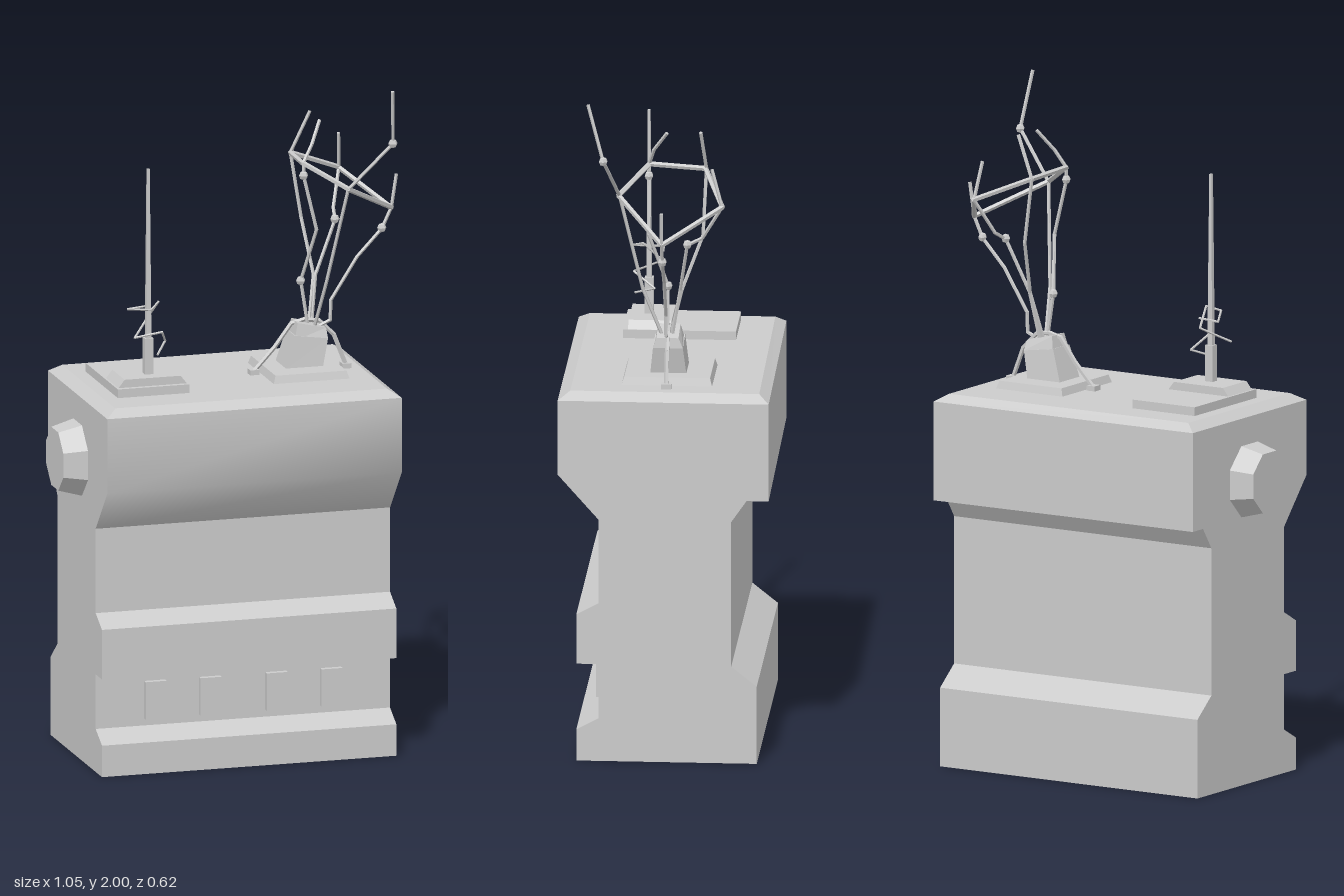
import * as THREE from 'three';
import { toCreasedNormals } from 'three/addons/utils/BufferGeometryUtils.js';

const grey = new THREE.MeshStandardMaterial({ color: 0xcccccc });
const V = (p) => new THREE.Vector3(...p);

function add(parent, name, geometry, position = [0, 0, 0]) {
  const mesh = new THREE.Mesh(geometry, grey);
  mesh.name = name;
  mesh.position.set(...position);
  parent.add(mesh);
  return mesh;
}

// Side profile of [z, y] points, extruded along x
function extrudeAlongX(profile, x0, x1) {
  const shape = new THREE.Shape(profile.map(([z, y]) => new THREE.Vector2(-z, y)));
  const g = new THREE.ExtrudeGeometry(shape, { depth: x1 - x0, bevelEnabled: false });
  return g.rotateY(Math.PI / 2).translate(x0, 0, 0);
}

// Box whose top rectangle differs from its base; rectangles are [x0, x1, z0, z1]
function taperedBox(base, top, y0, y1, tilt = 0) {
  const g = new THREE.BoxGeometry(1, 1, 1).toNonIndexed();
  const p = g.attributes.position;
  for (let i = 0; i < p.count; i++) {
    const up = p.getY(i) > 0;
    const right = p.getX(i) > 0;
    const r = up ? top : base;
    const y = up ? y1 - (right ? tilt : 0) : y0;
    p.setXYZ(i, right ? r[1] : r[0], y, p.getZ(i) > 0 ? r[3] : r[2]);
  }
  g.computeVertexNormals();
  return g;
}

// Straight rods joining a list of points
function wire(parent, name, points, radius, closed = false) {
  const group = new THREE.Group();
  group.name = name;
  const pts = points.map(V);
  if (closed) pts.push(pts[0]);
  for (let i = 0; i + 1 < pts.length; i++) {
    const dir = pts[i + 1].clone().sub(pts[i]);
    const g = new THREE.CylinderGeometry(radius, radius, dir.length() + radius * 0.6, 5).toNonIndexed();
    g.computeVertexNormals();
    const rod = add(group, name + 'Rod', g);
    rod.position.copy(pts[i]).addScaledVector(dir, 0.5);
    rod.quaternion.setFromUnitVectors(new THREE.Vector3(0, 1, 0), dir.normalize());
  }
  parent.add(group);
}

export function createModel() {
  const model = new THREE.Group();
  model.name = 'antennaTower';
  const X0 = -0.455, X1 = 0.445;

  // Main body with stepped plinth and front ledge
  add(model, 'body', toCreasedNormals(extrudeAlongX([
    [0.255, 0], [0.255, 0.095], [0.19, 0.13], [0.19, 0.295], [0.255, 0.295],
    [0.255, 0.445], [0.19, 0.48], [0.19, 0.735], [-0.2, 0.735], [-0.2, 0.295],
    [-0.275, 0.235], [-0.275, 0],
  ], X0, X1), 0.6));

  // Overhanging head, its back face slightly skewed
  const head = extrudeAlongX([
    [0.19, 0.735], [0.31, 0.87], [0.31, 1.095], [-0.31, 1.095],
    [-0.31, 0.8], [-0.245, 0.8], [-0.2, 0.735],
  ], X0, X1);
  const hp = head.attributes.position;
  for (let i = 0; i < hp.count; i++) {
    if (hp.getZ(i) < -0.3 && hp.getX(i) < 0) hp.setZ(i, -0.3);
  }
  head.computeVertexNormals();
  add(model, 'head', toCreasedNormals(head, 0.79));

  // Chamfered roof
  const roof = taperedBox([X0, X1, -0.31, 0.31], [-0.42, 0.41, -0.28, 0.275], 1.095, 1.117);
  const rp = roof.attributes.position;
  for (let i = 0; i < rp.count; i++) {
    if (rp.getZ(i) < 0 && rp.getX(i) < 0) rp.setZ(i, rp.getZ(i) + 0.01);
  }
  roof.computeVertexNormals();
  add(model, 'roof', roof);

  // Octagonal side cap
  const cap = new THREE.CylinderGeometry(0.095, 0.115, 0.07, 8).toNonIndexed();
  cap.rotateY(Math.PI / 8).rotateZ(Math.PI / 2);
  cap.computeVertexNormals();
  add(model, 'sideCap', cap, [-0.49, 0.907, 0.005]);

  // Front panels
  for (const x of [-0.275, -0.107, 0.095, 0.263]) {
    add(model, 'frontPanel', new THREE.BoxGeometry(0.064, 0.113, 0.025), [x, 0.208, 0.1945]);
  }

  // Mast on its two-step plate
  const mast = new THREE.Group();
  mast.name = 'mast';
  model.add(mast);
  add(mast, 'mastPlate', new THREE.BoxGeometry(0.218, 0.028, 0.332), [-0.269, 1.129, -0.006]);
  add(mast, 'mastBase', taperedBox([-0.372, -0.163, 0.018, 0.145], [-0.353, -0.182, 0.018, 0.145], 1.143, 1.167));
  add(mast, 'mastSocket', new THREE.BoxGeometry(0.026, 0.11, 0.026), [-0.265, 1.22, 0.09]);
  add(mast, 'mastPole', taperedBox(
    [-0.273, -0.257, 0.082, 0.098], [-0.269, -0.261, 0.086, 0.094], 1.27, 1.785));
  wire(mast, 'mastCoil', [
    [-0.248, 1.232, 0.13], [-0.207, 1.257, 0.07], [-0.235, 1.3, 0.133], [-0.315, 1.285, 0.12],
    [-0.252, 1.33, 0.05], [-0.238, 1.385, 0.105], [-0.27, 1.37, 0.136], [-0.315, 1.355, 0.05],
    [-0.252, 1.36, 0.047],
  ], 0.0035);

  // Pedestal of the wire antenna
  const antenna = new THREE.Group();
  antenna.name = 'wireAntenna';
  model.add(antenna);
  add(antenna, 'antennaPlate', taperedBox([0.107, 0.34, -0.137, 0.13], [0.115, 0.332, -0.13, 0.122], 1.115, 1.14));
  add(antenna, 'pedestal', taperedBox([0.168, 0.282, -0.057, 0.049], [0.198, 0.3, -0.048, 0.04], 1.138, 1.235, 0.015));
  add(antenna, 'pedestalTop', taperedBox([0.198, 0.3, -0.048, 0.04], [0.21, 0.297, -0.035, 0.03], 1.22, 1.27, 0.02));

  // Braces with feet
  const braces = [
    [[0.085, 1.125, -0.004], [0.15, 1.195, -0.004], [0.2, 1.262, -0.004], [0.24, 1.272, -0.004]],
    [[0.367, 1.125, -0.004], [0.33, 1.22, -0.004], [0.285, 1.265, -0.004], [0.24, 1.272, -0.004]],
  ];
  for (const points of braces) {
    wire(antenna, 'brace', points, 0.007);
    add(antenna, 'braceFoot', new THREE.BoxGeometry(0.028, 0.02, 0.03), [points[0][0], 1.122, -0.004]);
  }

  // Slanted ring
  wire(antenna, 'ring', [
    [0.395, 1.68, -0.17], [0.505, 1.592, 0], [0.333, 1.692, 0.138],
    [0.22, 1.758, 0.055], [0.23, 1.75, -0.11],
  ], 0.008, true);

  // Crooked wires rising through the ring
  const wires = [
    [[0.265, 1.25, 0.015], [0.285, 1.395, 0.07], [0.333, 1.69, 0.135], [0.458, 1.83, 0.175], [0.444, 1.997, 0.22]],
    [[0.25, 1.25, 0], [0.228, 1.39, 0], [0.26, 1.555, 0.055], [0.22, 1.72, 0.057],
      [0.22, 1.76, 0.055], [0.25, 1.81, 0.04], [0.285, 1.87, 0]],
    [[0.285, 1.25, 0], [0.318, 1.265, 0], [0.32, 1.325, 0], [0.4, 1.45, 0], [0.476, 1.53, 0],
      [0.505, 1.592, 0], [0.52, 1.69, 0]],
    [[0.265, 1.25, -0.015], [0.285, 1.395, -0.04], [0.352, 1.55, -0.065], [0.36, 1.575, -0.11],
      [0.395, 1.68, -0.17], [0.385, 1.79, -0.14]],
    [[0.255, 1.25, -0.01], [0.28, 1.395, -0.045], [0.26, 1.555, -0.105], [0.23, 1.75, -0.113], [0.285, 1.873, -0.1]],
  ];
  for (const points of wires) wire(antenna, 'antennaWire', points, 0.0055);

  // Beads on the wires
  for (const p of [[0.458, 1.83, 0.175], [0.22, 1.722, 0.057], [0.352, 1.552, -0.065],
    [0.476, 1.532, 0], [0.228, 1.39, 0]]) {
    const bead = new THREE.SphereGeometry(0.014, 6, 4).toNonIndexed();
    bead.computeVertexNormals();
    add(antenna, 'bead', bead, p);
  }

  return model;
}
